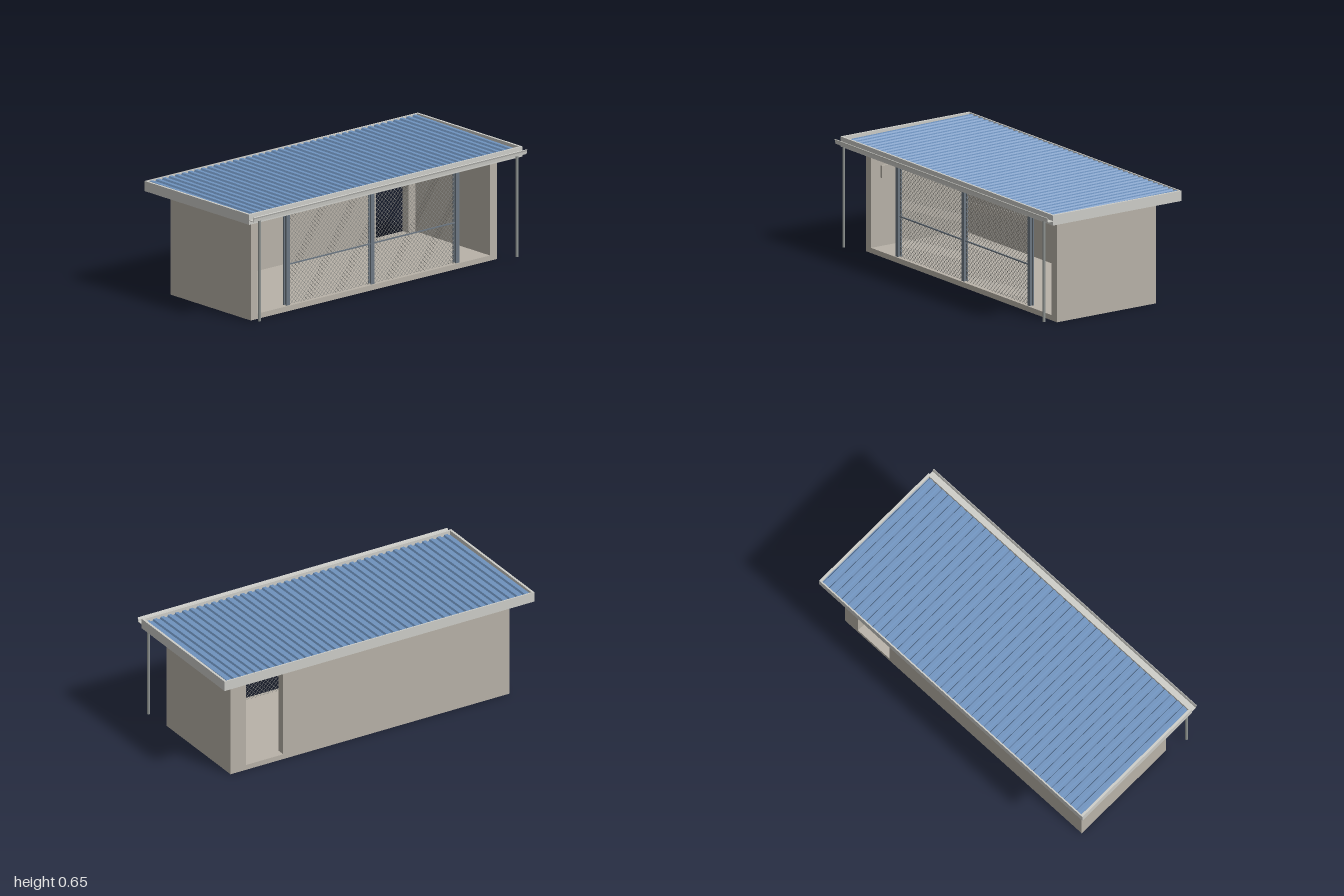
import * as THREE from 'three';
import { mergeGeometries } from 'three/addons/utils/BufferGeometryUtils.js';

function material(name, color) {
  const m = new THREE.MeshStandardMaterial({ color });
  m.name = name;
  return m;
}

// Box given by its lower and upper corners
function boxGeometry(x0, x1, y0, y1, z0, z1) {
  return new THREE.BoxGeometry(x1 - x0, y1 - y0, z1 - z0)
    .translate((x0 + x1) / 2, (y0 + y1) / 2, (z0 + z1) / 2);
}

export function createModel() {
  const group = new THREE.Group();
  const wall = material('wall render', 0xb8b2a8);
  const trim = material('pale trim', 0xcdcdc8);
  const blue = material('blue roof sheet', 0x6f93bf);
  const steel = material('dark steel', 0x6c7782);
  const pipe = material('grey pipe', 0x8f9492);
  const wire = material('mesh wire', 0x8c8c88);

  const add = (name, geometry, mat) => {
    const mesh = new THREE.Mesh(geometry, mat);
    mesh.name = name;
    group.add(mesh);
    return mesh;
  };
  const box = (name, mat, ...b) => add(name, boxGeometry(...b), mat);

  // Floor, side walls and back wall with a doorway
  box('floorSlab', wall, -0.9, 0.9, 0, 0.03, -0.355, 0.315);
  for (const s of [-1, 1]) {
    box('sideWall', wall, s * 0.875 - 0.025, s * 0.875 + 0.025, 0.03, 0.595, -0.355, 0.315);
  }
  const back = new THREE.Shape([[-0.85, 0.03], [0.56, 0.03], [0.56, 0.57], [0.8, 0.57],
    [0.8, 0.03], [0.85, 0.03], [0.85, 0.595], [-0.85, 0.595]].map(p => new THREE.Vector2(...p)));
  add('backWall', new THREE.ExtrudeGeometry(back, { depth: 0.05, bevelEnabled: false })
    .translate(0, 0, -0.355), wall);
  box('wallBox', wall, -0.85, -0.838, 0.42, 0.49, 0.18, 0.25);

  // Steel front frame: header and H-section posts
  box('frontHeader', steel, -0.85, 0.85, 0.575, 0.592, 0.28, 0.306);
  for (const x of [-0.62, 0, 0.62]) {
    add('frontPost', mergeGeometries([
      boxGeometry(x - 0.0125, x + 0.0125, 0.03, 0.575, 0.3, 0.306),
      boxGeometry(x - 0.0125, x + 0.0125, 0.03, 0.575, 0.28, 0.286),
      boxGeometry(x - 0.003, x + 0.003, 0.03, 0.575, 0.286, 0.3),
    ]), steel);
  }
  box('meshRail', steel, -0.61, 0.61, 0.257, 0.264, 0.29, 0.297);

  // Diagonal wire mesh, each wire clipped to its panel
  const pitch = 0.026, w = 0.594, h = 0.545;
  for (const x0 of [-0.607, 0.013]) {
    const wires = [];
    for (let c = -h + pitch / 2; c < w; c += pitch) {
      const a = Math.max(0, c), b = Math.min(w, c + h);
      const length = (b - a) * Math.SQRT2;
      const cx = (a + b) / 2, cy = cx - c;
      for (const s of [-1, 1]) {
        wires.push(new THREE.BoxGeometry(length, 0.0016, 0.0016)
          .rotateZ(s * Math.PI / 4)
          .translate(x0 + cx, 0.03 + (s > 0 ? cy : h - cy), 0.293 + s * 0.0008));
      }
    }
    add('wireMesh', mergeGeometries(wires), wire);
  }

  // Roof deck and fascia
  box('roofDeck', trim, -0.988, 0.988, 0.598, 0.612, -0.447, 0.403);
  for (const s of [-1, 1]) {
    box('sideFascia', trim, s * 0.993 - 0.007, s * 0.993 + 0.007, 0.59, 0.648, -0.455, 0.415);
  }
  box('backFascia', trim, -0.986, 0.986, 0.59, 0.648, -0.455, -0.447);
  box('frontFascia', trim, -0.986, 0.986, 0.59, 0.648, 0.403, 0.415);

  // Ribbed roof sheet, sloping gently to the front
  const ribs = 42, step = 1.972 / ribs;
  const outline = [[-0.986, 0.612]];
  for (let i = 0; i < ribs; i++) {
    const x = -0.986 + i * step;
    outline.push([x, 0.622], [x + step * 0.25, 0.622], [x + step * 0.37, 0.632],
      [x + step * 0.8, 0.632], [x + step * 0.92, 0.622]);
  }
  outline.push([0.986, 0.622], [0.986, 0.612]);
  const sheet = new THREE.ExtrudeGeometry(
    new THREE.Shape(outline.reverse().map(p => new THREE.Vector2(...p))),
    { depth: 0.85, bevelEnabled: false }).translate(0, 0, -0.447);
  const pos = sheet.attributes.position;
  for (let i = 0; i < pos.count; i++) {
    if (pos.getY(i) > 0.615) pos.setY(i, pos.getY(i) + 0.012 * (0.403 - pos.getZ(i)) / 0.85);
  }
  sheet.computeVertexNormals();
  add('roofSheet', sheet, blue);

  // Gutter, drawn as a z-y section and run along x
  const gutter = new THREE.Shape([[0.415, 0.612], [0.449, 0.612], [0.451, 0.628], [0.455, 0.638],
    [0.452, 0.64], [0.448, 0.629], [0.446, 0.616], [0.415, 0.616]].map(p => new THREE.Vector2(...p)));
  add('gutter', new THREE.ExtrudeGeometry(gutter, { depth: 2, bevelEnabled: false })
    .rotateY(-Math.PI / 2).translate(1, 0, 0), trim);

  // Downpipes
  for (const s of [-1, 1]) {
    add('downpipe', new THREE.CylinderGeometry(0.008, 0.008, 0.582, 12)
      .translate(s * 0.942, 0.323, 0.434), pipe);
  }
  return group;
}
